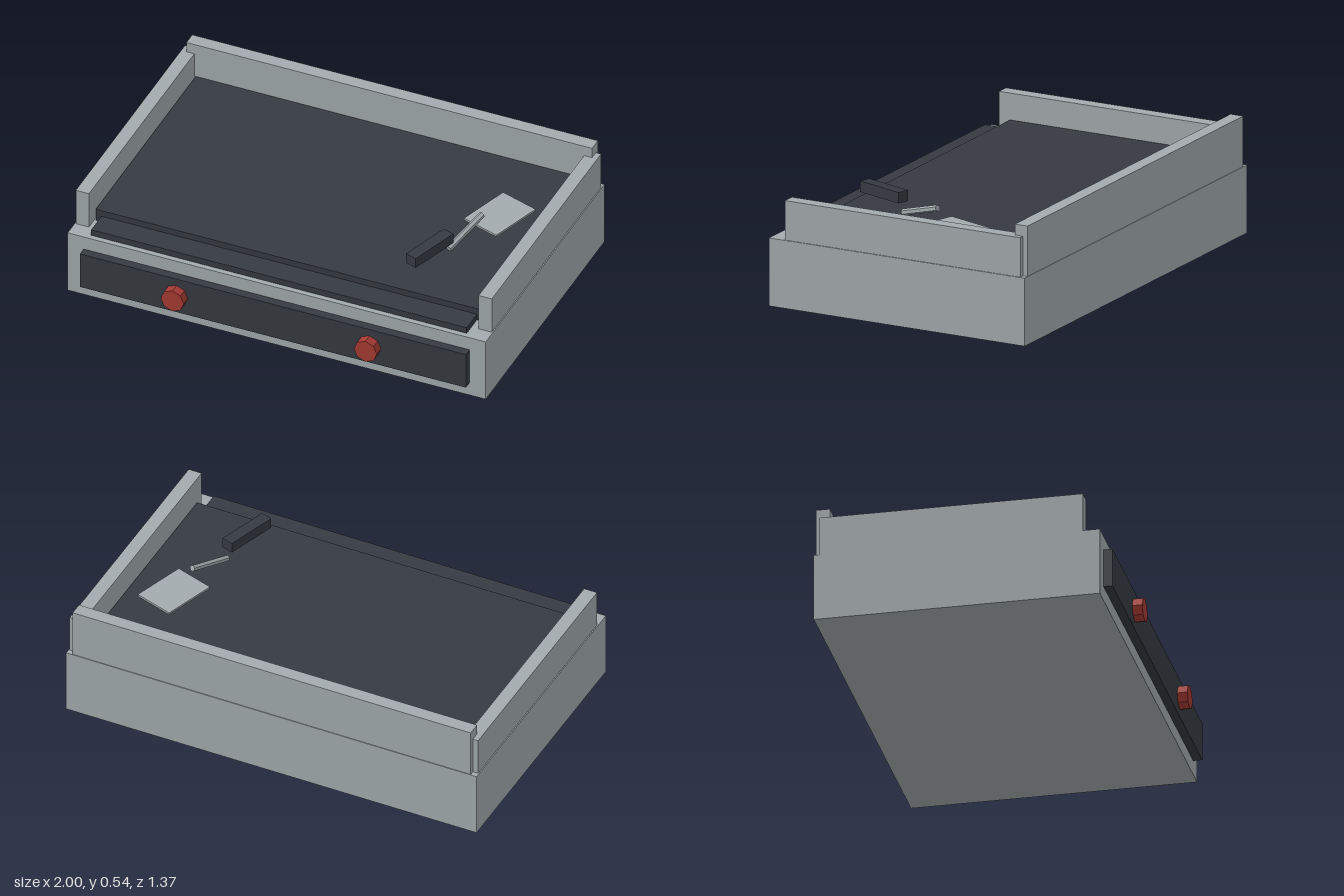
import * as THREE from 'three';

const steel = new THREE.MeshStandardMaterial({ color: 0xa3abae, flatShading: true });
steel.name = 'steel';
const iron = new THREE.MeshStandardMaterial({ color: 0x363a41, flatShading: true });
iron.name = 'dark iron';
const red = new THREE.MeshStandardMaterial({ color: 0xa63a33, flatShading: true });
red.name = 'red';

// Box given by its lower and upper limits on each axis
function box(parent, name, material, [x0, x1], [y0, y1], [z0, z1]) {
  const mesh = new THREE.Mesh(new THREE.BoxGeometry(x1 - x0, y1 - y0, z1 - z0), material);
  mesh.position.set((x0 + x1) / 2, (y0 + y1) / 2, (z0 + z1) / 2);
  mesh.name = name;
  parent.add(mesh);
  return mesh;
}

export function createModel() {
  const griddle = new THREE.Group();
  griddle.name = 'griddle';

  // Housing and splash guards
  box(griddle, 'housing', steel, [-1, 1], [0, 0.31], [-0.68, 0.6]);
  box(griddle, 'backGuard', steel, [-0.97, 0.97], [0.3, 0.54], [-0.677, -0.614]);
  box(griddle, 'leftGuard', steel, [0.932, 0.995], [0.3, 0.49], [-0.655, 0.523]);
  box(griddle, 'rightGuard', steel, [-0.995, -0.932], [0.3, 0.49], [-0.655, 0.523]);

  // Cooking plate, grease tray and control panel
  box(griddle, 'cookingPlate', iron, [-0.925, 0.925], [0.3, 0.37], [-0.62, 0.465]);
  box(griddle, 'greaseTray', iron, [-0.898, 0.898], [0.3, 0.34], [0.46, 0.575]);
  box(griddle, 'controlPanel', iron, [-0.923, 0.923], [0.067, 0.245], [0.59, 0.64]);

  // Knobs
  for (const x of [-0.462, 0.462]) {
    const knob = new THREE.Mesh(new THREE.CylinderGeometry(0.055, 0.055, 0.06, 8), red);
    knob.rotation.x = Math.PI / 2;
    knob.position.set(x, 0.156, 0.655);
    knob.name = 'knob';
    griddle.add(knob);
  }

  // Spatula, laid out along local z and turned on the plate
  const spatula = new THREE.Group();
  spatula.name = 'spatula';
  spatula.position.set(0.652, 0, 0.035);
  spatula.rotation.y = -0.31;
  box(spatula, 'blade', steel, [-0.095, 0.095], [0.392, 0.402], [-0.355, -0.097]);
  box(spatula, 'handle', iron, [-0.028, 0.028], [0.44, 0.49], [0.11, 0.358]);
  const shaft = new THREE.Mesh(new THREE.CylinderGeometry(0.015, 0.015, 0.23, 6), steel);
  shaft.position.y = 0.428;
  shaft.rotation.x = -Math.PI / 2 + 0.29;
  shaft.name = 'shaft';
  spatula.add(shaft);
  griddle.add(spatula);

  return griddle;
}
